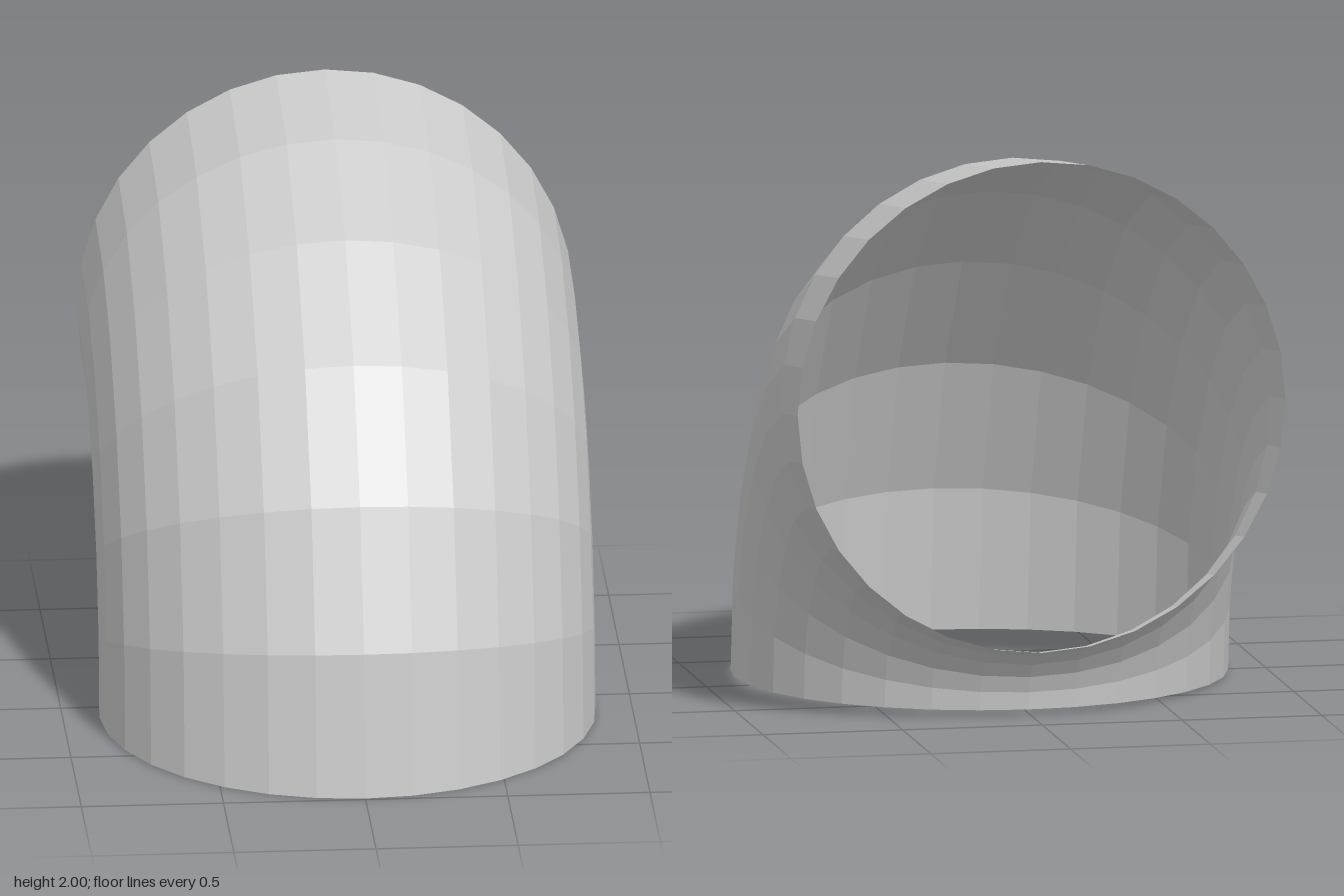
import * as THREE from 'three';

const BEND_RADIUS = 1.1125; // centre line of the bend
const PIPE_RADIUS = 0.8725;
const TILT = THREE.MathUtils.degToRad(-0.45);

export function createModel() {
  const group = new THREE.Group();
  group.name = 'pipeElbow';

  // Open quarter bend: 32 sides around, 6 segments along, thin wall
  const geometry = new THREE.TorusGeometry(BEND_RADIUS, PIPE_RADIUS, 32, 6, Math.PI / 2);
  geometry.rotateZ(TILT);
  geometry.rotateY(-Math.PI / 2); // bend from the bottom opening to the back opening
  geometry.translate(0, 0.0156, -0.995);

  const elbow = new THREE.Mesh(
    geometry,
    new THREE.MeshStandardMaterial({ color: 0xcccccc, flatShading: true, side: THREE.DoubleSide })
  );
  elbow.name = 'elbowShell';
  group.add(elbow);
  return group;
}
